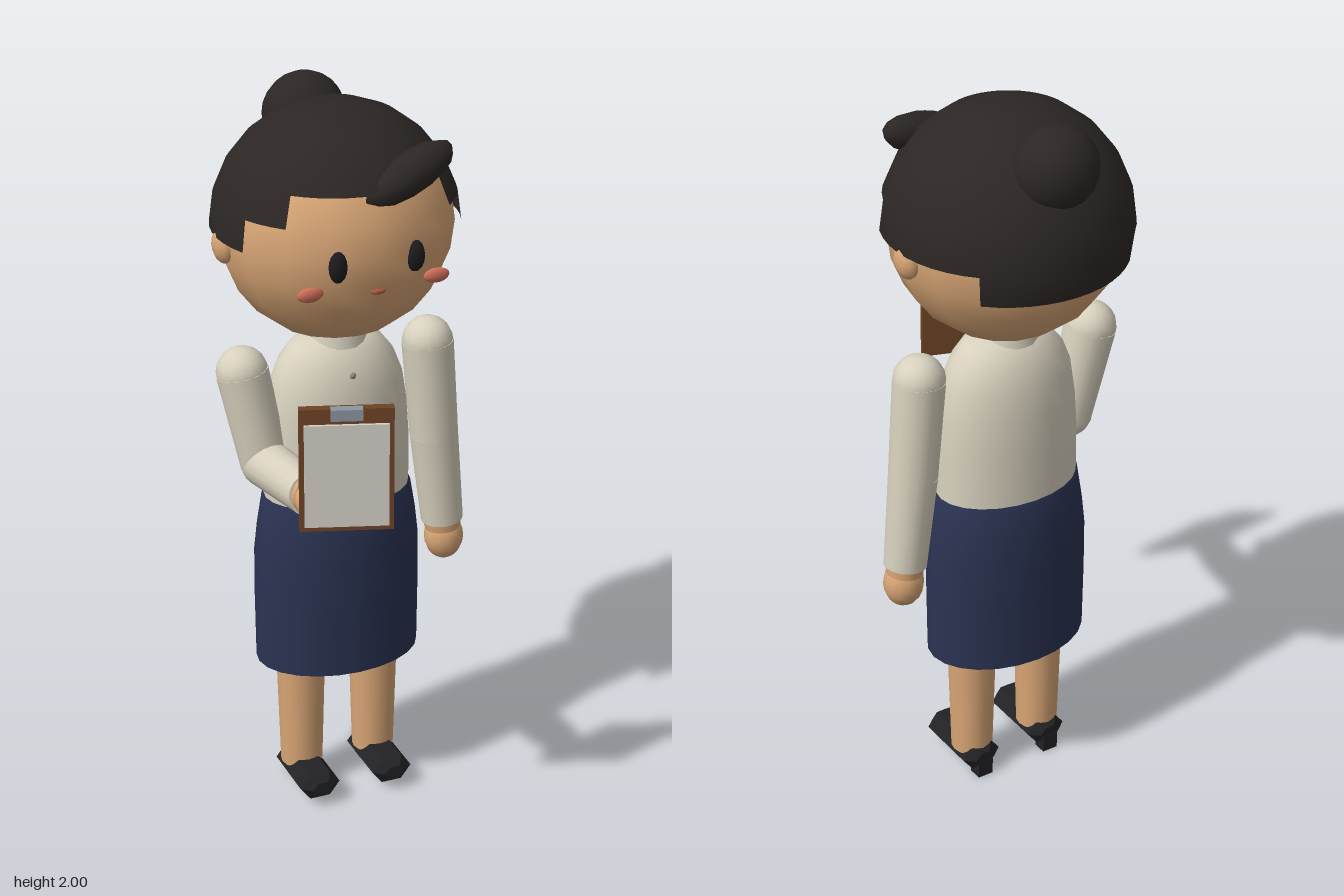
import * as THREE from 'three';
import { mergeGeometries } from 'three/addons/utils/BufferGeometryUtils.js';

const mat = (color, opts = {}) => {
  const m = new THREE.MeshStandardMaterial({ color, ...opts });
  return m;
};
const skin = mat(0xd9a676);
const shirt = mat(0xd8d1be, { side: THREE.DoubleSide });
const navy = mat(0x2a3352, { side: THREE.DoubleSide });
const hair = mat(0x2c2725, { side: THREE.DoubleSide });
const black = mat(0x1c1c1f);
const shoeMat = mat(0x222225, { flatShading: true });
const blush = mat(0xd0705c);
const lip = mat(0xa85a40);
const wood = mat(0x6e4426);
const paperMat = mat(0xd6d2c8);
const metal = mat(0x8d95a2);
const buttonMat = mat(0x8f8878);

const CX = -0.025, CZ = -0.1; // body axis
const V = (x, y, z) => new THREE.Vector3(x, y, z);

export function createModel() {
  const root = new THREE.Group();
  root.name = 'woman';

  const add = (name, geo, material, x = 0, y = 0, z = 0, parent = root) => {
    const m = new THREE.Mesh(geo, material);
    m.name = name;
    m.position.set(x, y, z);
    parent.add(m);
    return m;
  };
  const ball = (name, material, pos, radii, w = 16, h = 12, parent = root) => {
    const m = add(name, new THREE.SphereGeometry(1, w, h), material, ...pos, parent);
    m.scale.set(...radii);
    return m;
  };
  // tapered cylinder from a to b
  const limb = (name, material, a, b, ra, rb, parent = root) => {
    const geo = new THREE.CylinderGeometry(rb, ra, a.distanceTo(b), 16);
    const m = add(name, geo, material, ...a.clone().lerp(b, 0.5).toArray(), parent);
    m.quaternion.setFromUnitVectors(V(0, 1, 0), b.clone().sub(a).normalize());
    return m;
  };
  const lathe = (name, material, pts, segs, depth) => {
    const geo = new THREE.LatheGeometry(pts.map(p => new THREE.Vector2(...p)), segs);
    const m = add(name, geo, material, CX, 0, CZ);
    m.scale.z = depth;
    return m;
  };

  // Head and face
  ball('head', skin, [CX, 1.665, CZ], [0.31, 0.307, 0.295]);
  ball('mouth', lip, [CX, 1.573, 0.179], [0.022, 0.008, 0.01], 10, 6);
  for (const s of [-1, 1]) {
    ball('ear', skin, [CX + s * 0.3, 1.64, CZ - 0.01], [0.032, 0.05, 0.044], 12, 8);
    ball('eye', black, [CX + s * 0.105, 1.65, 0.172], [0.025, 0.042, 0.02], 12, 8);
    ball('cheek', blush, [CX + s * 0.172, 1.58, 0.153], [0.036, 0.02, 0.012], 12, 8);
  }

  // Hair cap: sixteen wedges, cut to a stepped hairline
  const wedges = [], step = Math.PI / 8;
  for (let i = 0; i < 16; i++) {
    const fromFront = Math.abs(((i + 0.5) * 22.5 - 90 + 540) % 360 - 180);
    const rows = fromFront < 45 ? 4 : fromFront < 67.5 ? 5 : fromFront < 135 ? 6 : 7;
    wedges.push(new THREE.SphereGeometry(1, 1, rows, i * step, step, 0, rows * Math.PI / 12));
  }
  const cap = add('hairCap', mergeGeometries(wedges), hair, CX, 1.665, CZ);
  cap.scale.set(0.325, 0.322, 0.32);
  ball('hairBun', hair, [CX, 1.89, -0.31], [0.112, 0.11, 0.1]);
  const tuft = ball('fringeTuft', hair, [0.085, 1.848, 0.118], [0.148, 0.053, 0.058], 10, 8);
  tuft.rotation.set(0, 0.3, 0.3);

  // Blouse
  lathe('blouse', shirt, [[0.203, 0.88], [0.202, 1.05], [0.195, 1.15], [0.183, 1.23],
    [0.16, 1.29], [0.125, 1.335], [0.085, 1.36], [0, 1.365]], 24, 0.7);
  add('collar', new THREE.CylinderGeometry(0.08, 0.086, 0.035, 20), shirt, CX, 1.355, CZ);
  add('neck', new THREE.CylinderGeometry(0.07, 0.07, 0.1, 16), skin, CX, 1.38, CZ);
  for (const [y, z] of [[1.275, 0.018], [1.18, 0.034], [1.09, 0.04], [0.995, 0.041]])
    ball('button', buttonMat, [CX, y, z], [0.009, 0.009, 0.007], 8, 6);

  // Skirt, open at the hem
  lathe('skirt', navy, [[0.23, 0.41], [0.232, 0.6], [0.231, 0.74], [0.222, 0.82],
    [0.208, 0.905], [0.19, 0.91]], 24, 0.71);

  // Legs and shoes
  for (const s of [-1, 1]) {
    const x = CX + s * 0.108;
    limb('leg', skin, V(x, 0.07, CZ), V(x, 0.43, CZ), 0.058, 0.068);
    limb('thigh', skin, V(x, 0.43, CZ), V(x, 0.85, CZ), 0.07, 0.075);
    const shoe = new THREE.Group();
    shoe.name = 'shoe';
    shoe.position.set(x, 0.058, -0.055);
    root.add(shoe);
    // six-sided body with bevelled ends, lying along z
    const profile = [[0, -0.115], [0.03, -0.115], [0.058, -0.092], [0.058, 0.092],
      [0.03, 0.115], [0, 0.115]].map(p => new THREE.Vector2(...p));
    const geo = new THREE.LatheGeometry(profile, 6);
    geo.rotateY(Math.PI / 2).rotateX(Math.PI / 2).scale(1, 0.75, 1);
    add('shoeBody', geo, shoeMat, 0, 0, 0, shoe);
    add('heel', new THREE.BoxGeometry(0.046, 0.05, 0.04), shoeMat, 0, -0.033, -0.096, shoe);
  }

  // Arms: shoulder, elbow, cuff and hand positions
  const arm = (name, shoulder, elbow, cuff, hand, radii) => {
    const g = new THREE.Group();
    g.name = name;
    root.add(g);
    ball('shoulder', shirt, shoulder.toArray(), [0.069, 0.069, 0.069], 16, 10, g);
    limb('upperSleeve', shirt, shoulder, elbow, 0.07, 0.066, g);
    ball('elbow', shirt, elbow.toArray(), [0.066, 0.066, 0.066], 16, 10, g);
    limb('lowerSleeve', shirt, elbow, cuff, 0.066, 0.058, g);
    limb('wrist', skin, cuff, cuff.clone().lerp(hand, 0.45), 0.052, 0.05, g);
    ball('hand', skin, hand.toArray(), radii, 14, 10, g);
  };
  arm('leftArm', V(0.24, 1.285, CZ), V(0.262, 1.01, CZ), V(0.29, 0.745, CZ),
    V(0.296, 0.69, CZ), [0.055, 0.068, 0.053]);
  arm('rightArm', V(-0.288, 1.285, CZ), V(-0.238, 1.025, -0.075), V(-0.236, 1.073, 0.238),
    V(-0.239, 1.083, 0.288), [0.056, 0.055, 0.056]);

  // Clipboard held in the right hand
  const board = new THREE.Group();
  board.name = 'clipboard';
  board.position.set(-0.187, 1.193, 0.36);
  board.rotation.y = -0.33;
  root.add(board);
  add('board', new THREE.BoxGeometry(0.237, 0.335, 0.024), wood, 0, 0, 0, board);
  add('paper', new THREE.BoxGeometry(0.212, 0.28, 0.012), paperMat, 0, -0.013, 0.014, board);
  add('clip', new THREE.BoxGeometry(0.08, 0.03, 0.026), metal, 0, 0.157, 0.016, board);

  return root;
}
